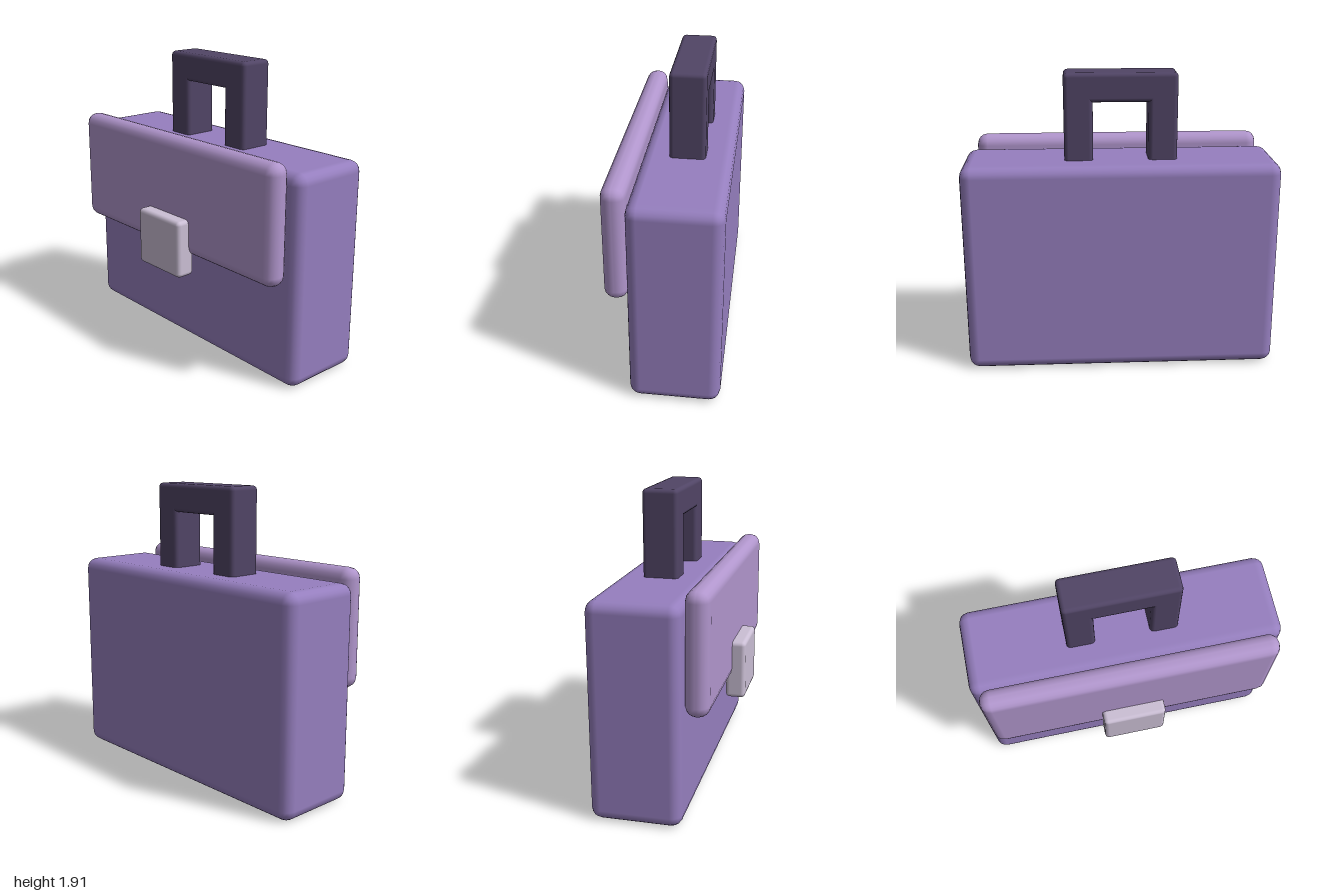
import * as THREE from 'three';
import { RoundedBoxGeometry } from 'three/addons/geometries/RoundedBoxGeometry.js';

const material = (color) => new THREE.MeshStandardMaterial({ color });

// Rounded block spanning the given [min, max] ranges
function block(name, mat, [x0, x1], [y0, y1], [z0, z1], radius) {
  const geometry = new RoundedBoxGeometry(x1 - x0, y1 - y0, z1 - z0, 2, radius);
  const mesh = new THREE.Mesh(geometry, mat);
  mesh.name = name;
  mesh.position.set((x0 + x1) / 2, (y0 + y1) / 2, (z0 + z1) / 2);
  return mesh;
}

export function createModel() {
  const briefcase = new THREE.Group();
  briefcase.name = 'briefcase';

  const bodyMat = material(0x967fbf);
  const flapMat = material(0xb196cd);
  const claspMat = material(0xcbbfd5);
  const handleMat = material(0x514566);

  // Case body, front flap and clasp
  briefcase.add(
    block('body', bodyMat, [-1, 1], [0, 1.36], [-0.4, 0.166], 0.07),
    block('frontFlap', flapMat, [-0.946, 0.94], [0.682, 1.435], [0.166, 0.315], 0.07),
    block('clasp', claspMat, [-0.21, 0.204], [0.55, 0.928], [0.273, 0.4], 0.027)
  );

  // Handle: crossbar with two legs sunk into the body
  const handle = new THREE.Group();
  handle.name = 'handle';
  const depth = [-0.23, -0.006];
  handle.add(block('handleBar', handleMat, [-0.358, 0.354], [1.724, 1.907], depth, 0.027));
  for (const [name, x] of [['rightHandleLeg', [-0.358, -0.176]], ['leftHandleLeg', [0.172, 0.354]]]) {
    handle.add(block(name, handleMat, x, [1.31, 1.86], depth, 0.027));
  }
  briefcase.add(handle);

  return briefcase;
}
